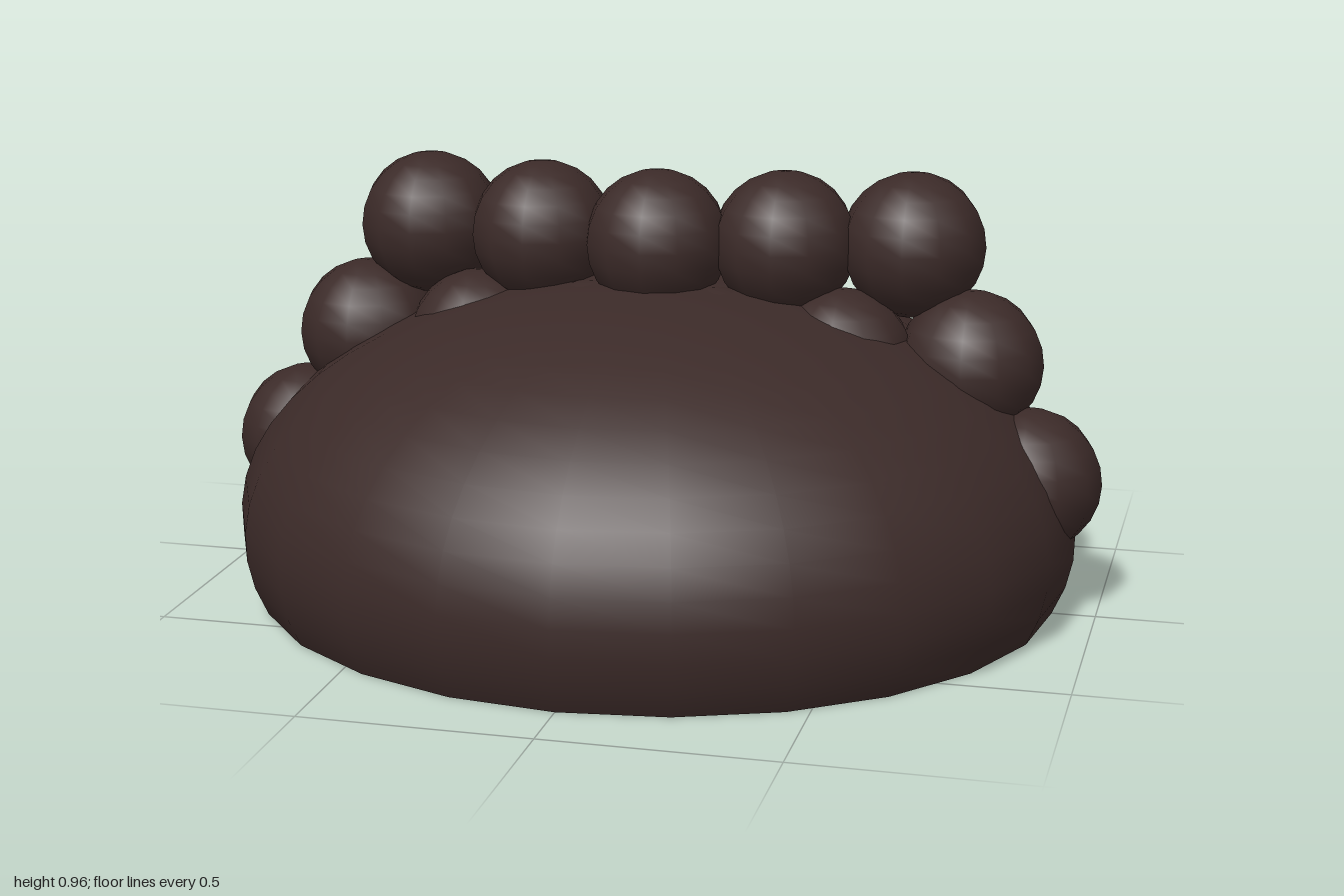
import * as THREE from 'three';

export function createModel() {
  const model = new THREE.Group();
  model.name = 'hairCap';
  const color = 0x3b2a28;
  const capMaterial = new THREE.MeshStandardMaterial({ color, side: THREE.DoubleSide });
  const beadMaterial = new THREE.MeshStandardMaterial({ color });

  // Open-bottomed cap: a flattened sphere cut a little below its equator
  const height = 0.546;
  const cap = new THREE.Mesh(
    new THREE.SphereGeometry(1, 24, 16, 0, Math.PI * 2, 0, Math.PI * 0.6),
    capMaterial
  );
  cap.name = 'cap';
  cap.scale.set(0.95, height, 0.895);
  cap.position.y = -height * Math.cos(Math.PI * 0.6);
  model.add(cap);

  // Braids: three stacked rows of beads, each row bent backwards at its ends
  const radius = 0.162;
  const spacing = 0.28;
  const bead = new THREE.SphereGeometry(radius, 12, 12);
  const rows = [
    { name: 'lowerBraid', count: 7, y: 0.298, z: 0.135 },
    { name: 'middleBraid', count: 6, y: 0.548, z: 0.07 },
    { name: 'upperBraid', count: 5, y: 0.798, z: 0 },
  ];
  for (const { name, count, y, z } of rows) {
    const braid = new THREE.Group();
    braid.name = name;
    for (let i = 0; i < count; i++) {
      const step = i - (count - 1) / 2;
      const mesh = new THREE.Mesh(bead, beadMaterial);
      mesh.name = 'braidBead';
      mesh.position.set(step * spacing, y, z - Math.abs(step) * 0.05);
      braid.add(mesh);
    }
    model.add(braid);
  }

  return model;
}
